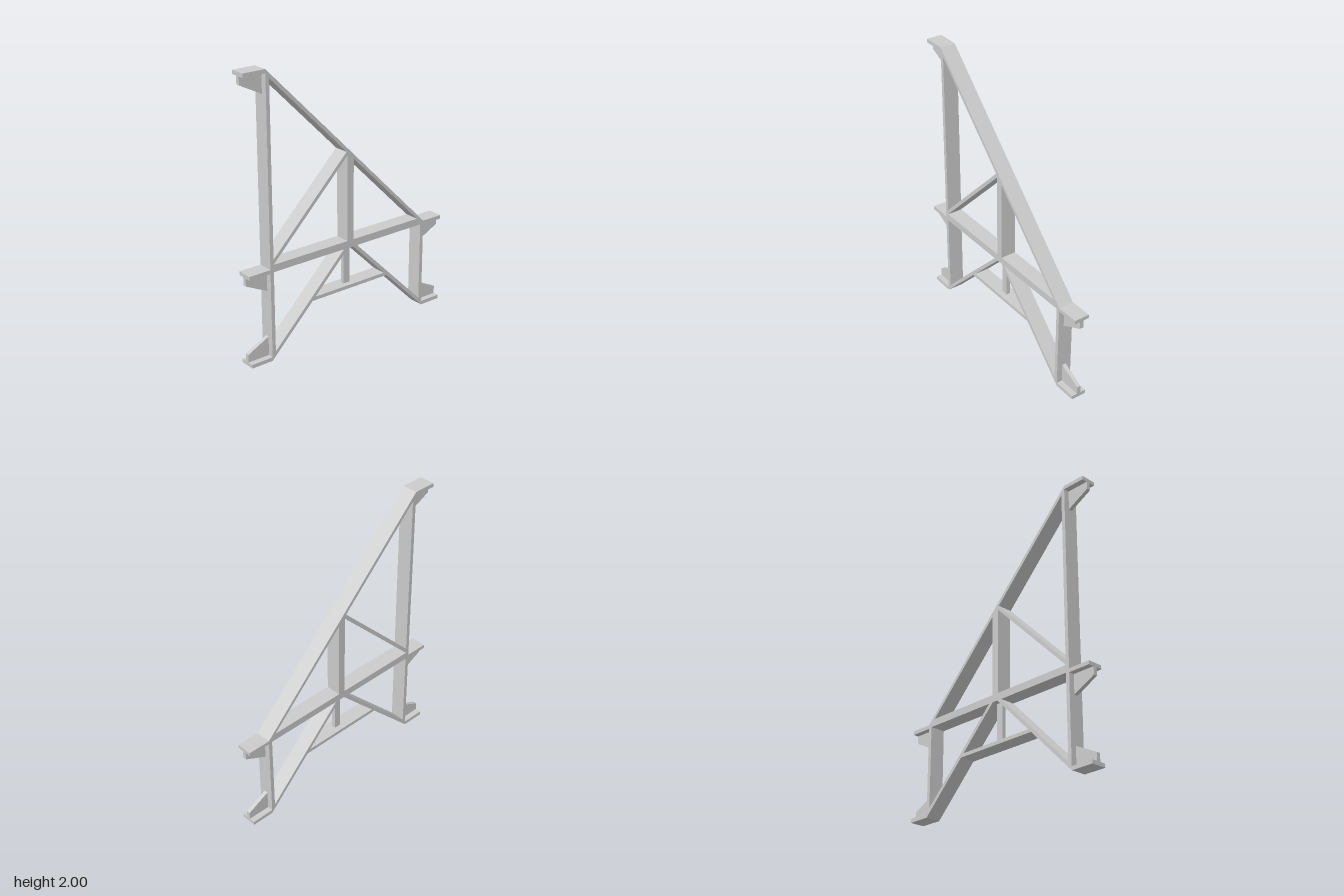
import * as THREE from 'three';

const DEPTH = 0.112;  // full depth of the frame members
const WEB = 0.028;    // thickness of the gussets and the short strut
const EDGE = 0.665;   // outer face of the upright posts
const TIP = 0.83;     // outer end of the mounting plates

const material = new THREE.MeshStandardMaterial({ color: 0xcccccc, flatShading: true });

// Extrudes an outline in x, y to a depth centred on z = 0
function slab(name, points, depth = DEPTH) {
  const shape = new THREE.Shape(points.map(([x, y]) => new THREE.Vector2(x, y)));
  const geometry = new THREE.ExtrudeGeometry(shape, { depth, bevelEnabled: false });
  geometry.translate(0, 0, -depth / 2);
  const mesh = new THREE.Mesh(geometry, material);
  mesh.name = name;
  return mesh;
}

const rect = (x0, y0, x1, y1) => [[x0, y0], [x1, y0], [x1, y1], [x0, y1]];
const mirror = (points, side) => points.map(([x, y]) => [x * side, y]);

// Mounting plate with a tapered gusset; dir = 1 rises above the plate, -1 hangs below
function bracket(name, side, y, dir) {
  const group = new THREE.Group();
  group.name = name;
  const t = y + dir * 0.027;
  group.add(slab('mountingPlate', mirror(rect(EDGE, Math.min(y, t), TIP, Math.max(y, t)), side)));
  const gusset = [[EDGE, t], [TIP, t], [TIP, y + dir * 0.083], [EDGE, y + dir * 0.165]];
  group.add(slab('gusset', mirror(gusset, side), WEB));
  return group;
}

export function createModel() {
  const model = new THREE.Group();
  model.name = 'trussFrame';

  // Upright posts
  model.add(slab('tallPost', [[-EDGE, 0], [-0.638, 0.027], [-0.638, 1.973], [-EDGE, 2]]));
  model.add(slab('shortPost', [[EDGE, 0], [EDGE, 0.665], [0.638, 0.665], [0.638, 0.027]]));

  // Horizontal beam, its right end cut along the sloping chord
  model.add(slab('mainBeam', [[-0.638, 0.643], [0.638, 0.643], [0.638, 0.665], [0.605, 0.695], [-0.638, 0.695]]));

  // Long sloping chord
  model.add(slab('slopingChord', [[-EDGE, 2], [-0.638, 1.938], [0.605, 0.695], [0.638, 0.665], [EDGE, 0.665]]));

  // Centre post and the brace leaning on it
  model.add(slab('centrePost', [[-0.026, 0.695], [0.026, 0.695], [0.026, 1.274], [-0.026, 1.326]]));
  model.add(slab('upperBrace', [[-0.638, 0.697], [-0.026, 1.309], [-0.026, 1.326], [-0.035, 1.335], [-0.638, 0.732]]));

  // Lower diagonal braces, mirrored
  for (const side of [-1, 1]) {
    const brace = [[EDGE, 0], [0.638, 0.062], [0.057, 0.643], [0.022, 0.643]];
    model.add(slab(side < 0 ? 'rightLowerBrace' : 'leftLowerBrace', mirror(brace, side)));
  }

  // Tie between the lower braces and the thin strut above it
  model.add(slab('lowerTie', [[-0.327, 0.338], [0.327, 0.338], [0.302, 0.363], [-0.302, 0.363]]));
  model.add(slab('lowerStrut', rect(-0.026, 0.363, 0.026, 0.643), WEB));

  // Mounting brackets
  model.add(bracket('topBracket', -1, 2, -1));
  for (const side of [-1, 1]) {
    const label = side < 0 ? 'right' : 'left';
    model.add(bracket(label + 'MiddleBracket', side, 0.665, -1));
    model.add(bracket(label + 'FootBracket', side, 0, 1));
  }
  return model;
}
